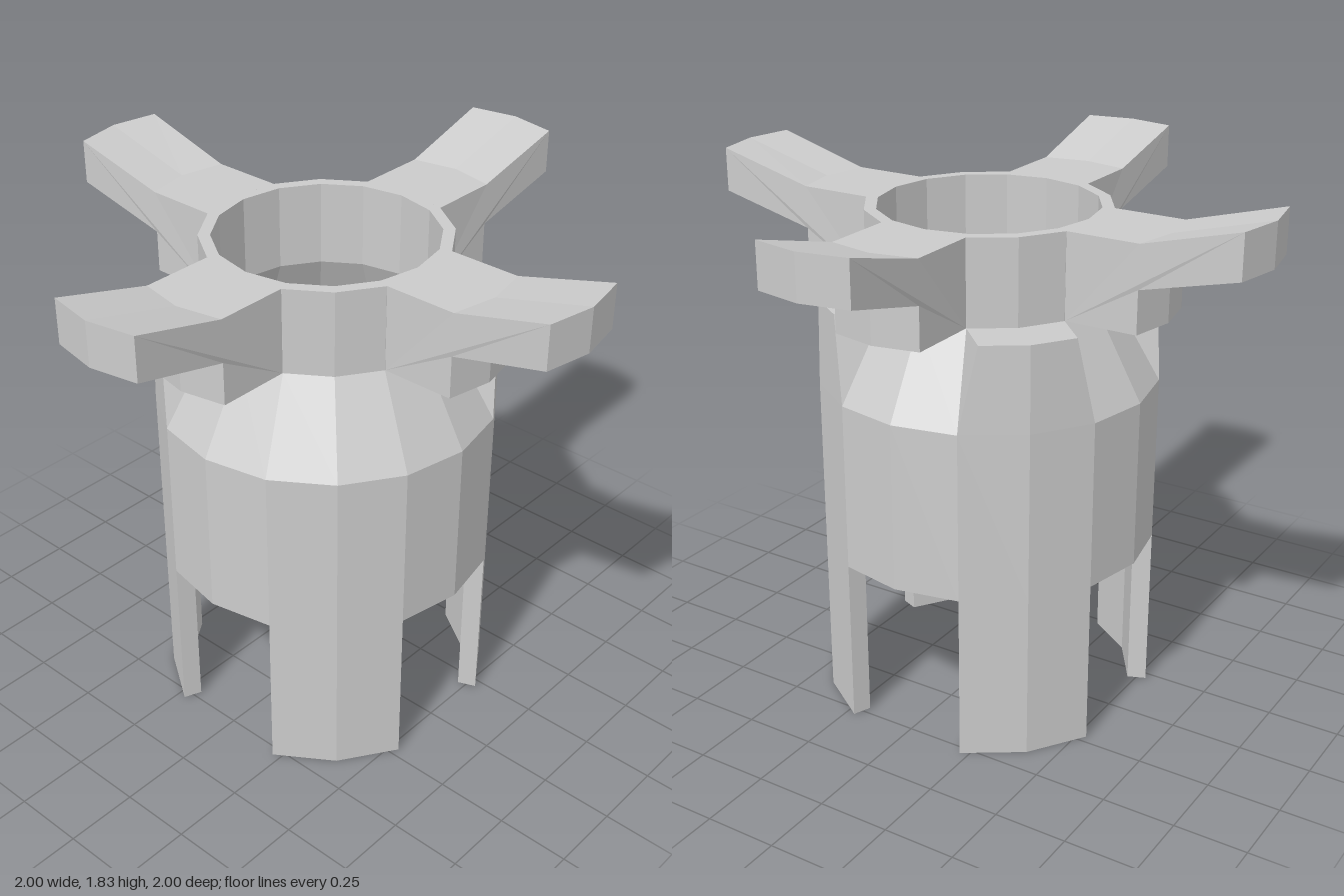
import * as THREE from 'three';
import { ConvexGeometry } from 'three/addons/geometries/ConvexGeometry.js';

const SIDES = 16;
const STEP = (Math.PI * 2) / SIDES;
const R_OUT = 0.575, R_IN = 0.51; // body wall
const HUB_OUT = 0.41, HUB_IN = 0.37; // hub ring

const material = new THREE.MeshStandardMaterial({ color: 0xcccccc, flatShading: true });

function add(parent, name, geometry) {
  const mesh = new THREE.Mesh(geometry, material);
  mesh.name = name;
  parent.add(mesh);
  return mesh;
}

// Closed faceted ring turned from a loop of [radius, height] points
function ring(points) {
  const loop = [...points, points[0]].map(([r, y]) => new THREE.Vector2(r, y));
  return new THREE.LatheGeometry(loop, SIDES);
}

// Point on the 16-sided plan; angle counted in facets
function polar(facet, r, y) {
  const a = facet * STEP;
  return new THREE.Vector3(Math.sin(a) * r, y, Math.cos(a) * r);
}

// Curved leg: a two-facet slice of the body wall
function legGeometry() {
  const outer = [1, 2, 3].map((f) => polar(f, R_OUT, 0));
  const inner = [3, 2, 1].map((f) => polar(f, R_IN, 0));
  const plan = new THREE.Shape([...outer, ...inner].map((p) => new THREE.Vector2(p.x, -p.z)));
  return new THREE.ExtrudeGeometry(plan, { depth: 0.58, bevelEnabled: false }).rotateX(-Math.PI / 2);
}

// Raised shoulder that fills the cone between two arms
function shoulderGeometry() {
  return new ConvexGeometry([
    ...[1, 2, 3].map((f) => polar(f, R_OUT, 1.16)),
    polar(1.285, 0.56, 1.45), polar(2, 0.568, 1.45), polar(2.715, 0.56, 1.45),
    polar(1, HUB_OUT, 1.45), polar(3, HUB_OUT, 1.45),
  ]);
}

// Arm: side profile extruded in two strips, then pulled to a point along the middle
function armGeometry() {
  const profile = new THREE.Shape([
    [0.379, 1.45], [0.63, 1.45], [0.63, 1.595], [0.967, 1.68],
    [0.967, 1.83], [0.63, 1.74], [0.379, 1.74],
  ].map(([r, y]) => new THREE.Vector2(r, y)));
  const geometry = new THREE.ExtrudeGeometry(profile, { depth: 2, steps: 2, bevelEnabled: false });
  const pos = geometry.attributes.position;
  for (let i = 0; i < pos.count; i++) {
    const r = pos.getX(i);
    const s = pos.getZ(i) - 1;
    const halfWidth = 0.156 + 0.009 * Math.max(0, (r - 0.63) / 0.337);
    pos.setX(i, r + 0.031 * (1 - Math.abs(s)));
    pos.setZ(i, s * halfWidth);
  }
  geometry.computeVertexNormals();
  return geometry;
}

export function createModel() {
  const model = new THREE.Group();
  model.name = 'model';

  // Hollow body with tapered top
  add(model, 'body', ring([
    [R_IN, 0.58], [R_OUT, 0.58], [R_OUT, 1.16], [HUB_OUT, 1.45], [HUB_IN, 1.45], [R_IN, 1.16],
  ]));

  // Hub ring on top
  add(model, 'hub', ring([
    [HUB_IN, 1.45], [HUB_OUT, 1.45], [HUB_OUT, 1.74], [HUB_IN, 1.74],
  ]));

  // Four legs and arms, shoulders in all but the front right quarter
  const leg = legGeometry();
  const arm = armGeometry();
  const shoulder = shoulderGeometry();
  for (let i = 0; i < 4; i++) {
    const turn = (i * Math.PI) / 2;
    add(model, 'leg', leg).rotation.y = turn;
    add(model, 'arm', arm).rotation.y = turn;
    if (i !== 3) add(model, 'shoulder', shoulder).rotation.y = turn;
  }
  return model;
}
